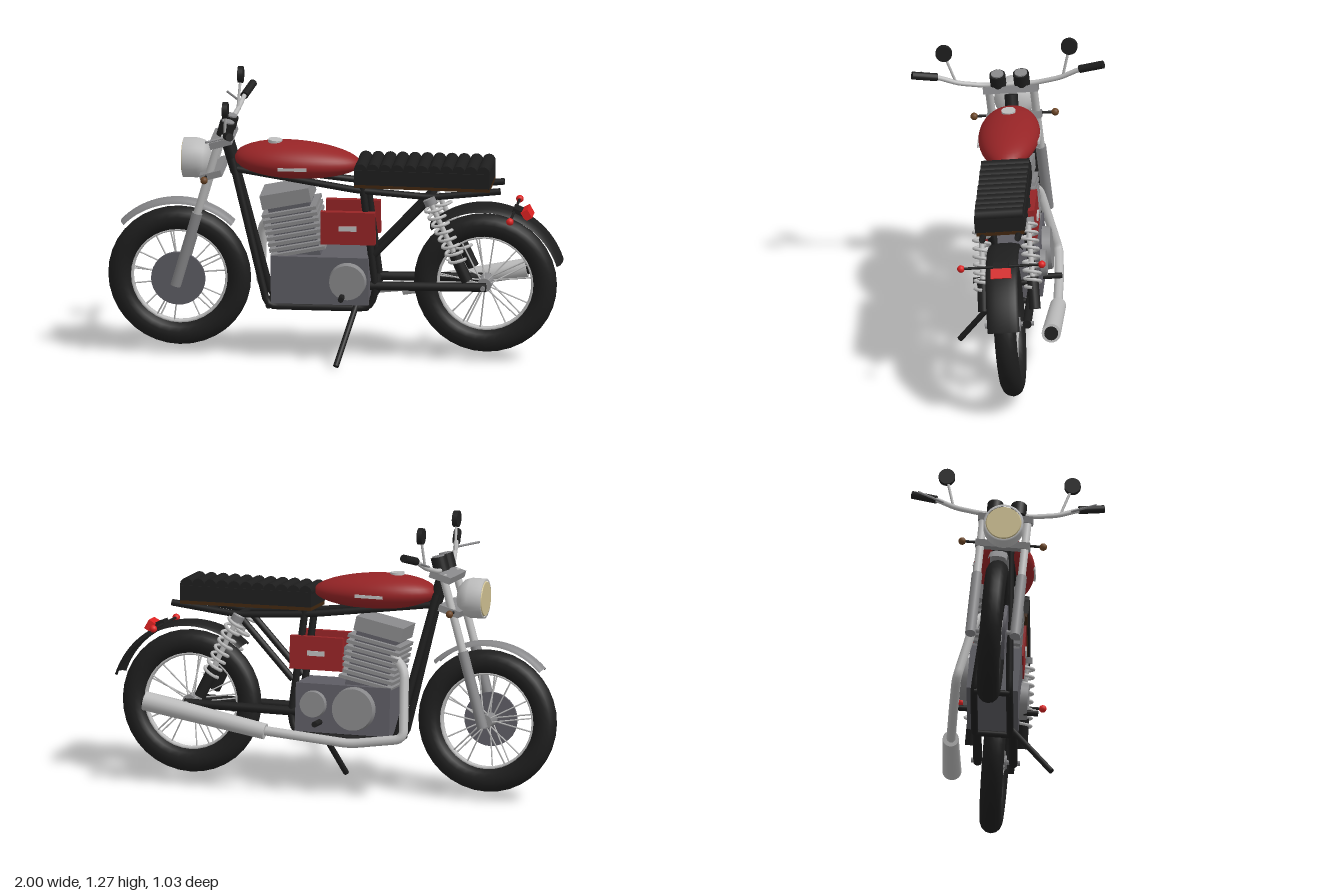
import * as THREE from 'three';

const material = (name, color, side = THREE.FrontSide) => {
  const m = new THREE.MeshStandardMaterial({ color, side });
  m.name = name;
  return m;
};
const V = (p) => new THREE.Vector3(...p);
const UP = new THREE.Vector3(0, 1, 0);
const SIDES = [1, -1];

export function createModel() {
  const black = material('black', 0x1e1e1e, THREE.DoubleSide);
  const red = material('paint red', 0x962426);
  const chrome = material('chrome', 0xbcbcbc);
  const steel = material('steel grey', 0x88888a, THREE.DoubleSide);
  const dark = material('engine grey', 0x5e5d64);
  const brown = material('seat base brown', 0x40260f);
  const amber = material('amber', 0x6b4526);
  const cream = material('lens cream', 0xcbbd8f);
  const lampRed = material('lamp red', 0xdc2222);

  // The bike points to -x locally; it is turned and leans on its side stand
  const model = new THREE.Group();
  const bike = new THREE.Group();
  bike.name = 'motorcycle';
  bike.rotation.set(0.085, 0.25, 0, 'YXZ');
  bike.position.set(-0.025, 0, -0.11);
  model.add(bike);

  const add = (name, geo, mat, pos = [0, 0, 0], parent = bike) => {
    const m = new THREE.Mesh(geo, mat);
    m.name = name;
    m.position.set(...pos);
    parent.add(m);
    return m;
  };
  const box = (name, size, mat, pos, tilt = 0, parent = bike) => {
    const m = add(name, new THREE.BoxGeometry(...size), mat, pos, parent);
    m.rotation.z = tilt;
    return m;
  };
  // Cylinder between two points
  const rod = (name, a, b, r, mat, r2 = r, sides = 14, parent = bike) => {
    const p = V(a), d = V(b).sub(p);
    const m = add(name, new THREE.CylinderGeometry(r2, r, d.length(), sides), mat, [0, 0, 0], parent);
    m.position.copy(p).addScaledVector(d, 0.5);
    m.quaternion.setFromUnitVectors(UP, d.normalize());
    return m;
  };
  // Bent pipe: straight runs with short rounded corners
  const pipe = (name, pts, r, mat, bend = 0.04) => {
    const path = new THREE.CurvePath(), P = pts.map(V);
    let last = P[0];
    for (let i = 1; i < P.length - 1; i++) {
      const a = P[i].clone().add(P[i - 1].clone().sub(P[i]).setLength(bend));
      const b = P[i].clone().add(P[i + 1].clone().sub(P[i]).setLength(bend));
      path.add(new THREE.LineCurve3(last, a));
      path.add(new THREE.QuadraticBezierCurve3(a, P[i], b));
      last = b;
    }
    path.add(new THREE.LineCurve3(last, P[P.length - 1]));
    return add(name, new THREE.TubeGeometry(path, pts.length * 14, r, 10), mat);
  };
  // Curved strip around a wheel, between two angles in degrees
  const fender = (name, x, r, half, from, to, mat) => {
    const profile = [[-1, -0.02], [-0.85, -0.006], [-0.4, 0], [0.4, 0], [0.85, -0.006], [1, -0.02]]
      .map(([w, d]) => new THREE.Vector2(r + d, w * half));
    const rad = Math.PI / 180;
    const g = new THREE.LatheGeometry(profile, 28, from * rad + Math.PI / 2, (to - from) * rad);
    g.rotateX(Math.PI / 2);
    return add(name, g, mat, [x, 0.36, 0]);
  };

  // Wheels
  const wheel = (name, x) => {
    const g = new THREE.Group();
    g.name = name;
    g.position.set(x, 0.36, 0);
    bike.add(g);
    add('tire', new THREE.TorusGeometry(0.268, 0.054, 14, 36), black, [0, 0, 0], g).scale.z = 0.92;
    add('rim', new THREE.TorusGeometry(0.214, 0.008, 8, 36), chrome, [0, 0, 0], g).scale.z = 2.5;
    rod('hub', [0, 0, -0.05], [0, 0, 0.05], 0.032, steel, 0.032, 20, g);
    rod('axle', [0, 0, -0.11], [0, 0, 0.11], 0.011, steel, 0.011, 10, g);
    for (let i = 0; i < 20; i++) {
      const a = i / 20 * Math.PI * 2, b = a + (i % 4 < 2 ? 0.12 : -0.12), w = i % 2 ? 0.04 : -0.04;
      rod('spoke', [0.03 * Math.cos(a), 0.03 * Math.sin(a), w],
        [0.215 * Math.cos(b), 0.215 * Math.sin(b), w * 0.2], 0.0035, chrome, 0.0035, 6, g);
    }
    return g;
  };
  const front = wheel('frontWheel', -0.689);
  wheel('rearWheel', 0.689);
  rod('brakeDisc', [0, 0, 0.045], [0, 0, 0.06], 0.122, dark, 0.122, 32, front);
  fender('frontFender', -0.689, 0.362, 0.042, 46, 136, steel);
  fender('rearFender', 0.689, 0.366, 0.072, 17, 132, black);

  // Frame, swingarm, shocks and everything else that comes in pairs
  for (const k of SIDES) {
    const w = 0.08 * k;
    pipe('frameLoop', [[-0.445, 0.92, 0.03 * k], [-0.285, 0.25, w], [0.175, 0.25, w], [0.205, 0.33, w],
      [0.15, 0.815, w]], 0.016, black);
    pipe('seatRail', [[-0.42, 0.87, 0.03 * k], [0.12, 0.8, w], [0.46, 0.775, w], [0.77, 0.81, w]], 0.015, black);
    rod('rearStay', [0.2, 0.5, w], [0.46, 0.775, w], 0.015, black);
    rod('swingarm', [0.18, 0.355, w], [0.7, 0.36, w], 0.02, black);
    rod('footpeg', [0.06, 0.32, 0.11 * k], [0.06, 0.32, 0.2 * k], 0.013, black);

    // Shock absorber with its coil spring
    const a = V([0.62, 0.4, 0.115 * k]), b = V([0.45, 0.775, 0.105 * k]);
    const at = (t) => a.clone().lerp(b, t).toArray();
    rod('shockRod', at(0), at(1), 0.012, chrome);
    rod('shockBody', at(0), at(0.35), 0.026, black);
    rod('shockCap', at(0.93), at(1), 0.028, steel);
    const coil = [];
    for (let i = 0; i <= 90; i++) {
      const t = i / 90, q = t * 8 * Math.PI * 2;
      coil.push(new THREE.Vector3(0.036 * Math.cos(q), t * 0.29, 0.036 * Math.sin(q)));
    }
    const spring = add('shockSpring', new THREE.TubeGeometry(new THREE.CatmullRomCurve3(coil), 160, 0.0075, 6),
      chrome, at(0.23));
    spring.quaternion.setFromUnitVectors(UP, b.clone().sub(a).normalize());

    // Fork leg
    const f = 0.1 * k;
    rod('forkSlider', [-0.695, 0.34, f], [-0.594, 0.68, f], 0.024, steel);
    rod('forkTube', [-0.594, 0.68, f], [-0.492, 1.02, f], 0.018, chrome);

    // Handlebar half, grip, lever and mirror
    pipe('handlebar', [[-0.475, 1.035, 0], [-0.475, 1.037, 0.12 * k], [-0.45, 1.065, 0.23 * k],
      [-0.43, 1.108, 0.32 * k], [-0.405, 1.133, 0.42 * k]], 0.011, chrome, 0.03);
    rod('grip', [-0.43, 1.108, 0.32 * k], [-0.403, 1.135, 0.43 * k], 0.018, black);
    rod('lever', [-0.44, 1.09, 0.28 * k], [-0.515, 1.1, 0.4 * k], 0.005, steel);
    rod('mirrorStalk', [-0.45, 1.07, 0.24 * k], [-0.44, 1.2, 0.278 * k], 0.006, chrome);
    rod('mirror', [-0.452, 1.217, 0.282 * k], [-0.428, 1.217, 0.282 * k], 0.037, black, 0.037, 24);

    // Gauge
    rod('gauge', [-0.475, 1.03, 0.053 * k], [-0.457, 1.093, 0.053 * k], 0.036, black, 0.036, 24);
    rod('gaugeFace', [-0.457, 1.093, 0.053 * k], [-0.4555, 1.099, 0.053 * k], 0.028, steel, 0.028, 24);

    // Turn signals
    for (const [x, y, mat, inner] of [[-0.552, 0.857, amber, 0.08], [0.825, 0.7, lampRed, 0]]) {
      rod('signalStalk', [x, y, inner * k], [x, y, 0.175 * k], 0.006, black);
      add('turnSignal', new THREE.SphereGeometry(0.017, 14, 10), mat, [x, y, 0.182 * k]);
    }

    // Side panel and tank trim
    box('sidePanel', [0.245, 0.15, 0.03], red, [0.085, 0.628, 0.1 * k]);
    box('panelTrim', [0.08, 0.022, 0.008], chrome, [0.085, 0.628, 0.118 * k]);
    box('tankTrim', [0.13, 0.014, 0.009], chrome, [-0.16, 0.903, 0.136 * k]);
  }
  for (const [x, y] of [[-0.28, 0.25], [0.16, 0.25], [0.2, 0.355], [0.46, 0.775], [0.6, 0.79]])
    rod('crossTube', [x, y, -0.08], [x, y, 0.08], 0.014, black);
  rod('headTube', [-0.425, 0.85, 0], [-0.465, 0.99, 0], 0.03, black);
  box('upperForkClamp', [0.1, 0.03, 0.245], steel, [-0.485, 1.01, 0], 0.28);
  box('lowerForkClamp', [0.1, 0.03, 0.245], steel, [-0.53, 0.86, 0], 0.28);

  // Headlight
  const shell = [[0, 0], [0.05, 0.005], [0.08, 0.03], [0.09, 0.06], [0.09, 0.125], [0.08, 0.125]];
  const lamp = add('headlight', new THREE.LatheGeometry(shell.map((p) => new THREE.Vector2(...p)), 32),
    chrome, [-0.54, 0.91, 0]);
  lamp.rotation.z = Math.PI / 2;
  rod('headlightLens', [-0.655, 0.91, 0], [-0.669, 0.91, 0], 0.082, cream, 0.076, 32);

  // Fuel tank: an egg, fullest near the front and flatter below
  const egg = new THREE.SphereGeometry(1, 40, 24), p = egg.attributes.position;
  for (let i = 0; i < p.count; i++) {
    const x = p.getX(i), taper = 1 - 0.1 * x;
    p.setXYZ(i, x * 0.285, p.getY(i) * (p.getY(i) < 0 ? 0.078 : 0.084) * taper, p.getZ(i) * 0.137 * taper);
  }
  egg.computeVertexNormals();
  add('fuelTank', egg, red, [-0.152, 0.91, 0]).rotation.z = -0.04;
  rod('fuelCap', [-0.253, 0.98, 0], [-0.251, 1.004, 0], 0.032, chrome, 0.032, 24);

  // Seat with rolled ribs
  box('seatPan', [0.61, 0.016, 0.215], brown, [0.42, 0.822, 0], -0.012);
  box('seatBase', [0.61, 0.068, 0.225], black, [0.42, 0.864, 0], -0.012);
  for (let i = 0; i < 11; i++) {
    const x = 0.143 + i * 0.0555;
    rod('seatRib', [x, 0.9, -0.108], [x, 0.9, 0.108], 0.029, black, 0.029, 16);
  }

  // Engine
  box('crankcase', [0.44, 0.22, 0.23], dark, [-0.045, 0.382, 0]);
  rod('leftCover', [0.083, 0.385, 0.11], [0.083, 0.385, 0.15], 0.085, steel, 0.08, 32);
  rod('clutchCover', [-0.1, 0.39, -0.11], [-0.1, 0.39, -0.152], 0.1, steel, 0.094, 32);
  rod('smallCover', [0.09, 0.4, -0.11], [0.09, 0.4, -0.14], 0.062, steel, 0.058, 28);
  const barrel = new THREE.Group();
  barrel.name = 'cylinder';
  barrel.position.set(-0.135, 0.47, 0);
  barrel.rotation.z = 0.2;
  bike.add(barrel);
  box('barrelCore', [0.19, 0.28, 0.16], dark, [0, 0.13, 0], 0, barrel);
  for (let i = 0; i < 8; i++) box('fin', [0.25, 0.015, 0.21], steel, [0, 0.04 + i * 0.027, 0], 0, barrel);
  box('cylinderHead', [0.225, 0.065, 0.19], steel, [-0.005, 0.29, 0], 0, barrel);
  rod('carburettor', [-0.08, 0.6, 0], [0.06, 0.62, 0], 0.04, dark);

  // Exhaust
  pipe('exhaustPipe', [[-0.24, 0.65, -0.05], [-0.325, 0.58, -0.1], [-0.345, 0.275, -0.16],
    [-0.1, 0.24, -0.172], [0.32, 0.278, -0.19]], 0.021, chrome);
  rod('muffler', [0.29, 0.272, -0.19], [0.852, 0.375, -0.198], 0.036, chrome, 0.043, 24);
  rod('mufflerOutlet', [0.846, 0.374, -0.198], [0.859, 0.3765, -0.198], 0.031, black, 0.031, 20);

  // Tail lamp and side stand
  box('tailLamp', [0.035, 0.045, 0.09], lampRed, [0.882, 0.69, 0], 0.5);
  box('tailBracket', [0.06, 0.03, 0.07], black, [0.845, 0.695, 0], -0.4);
  rod('sideStand', [0.115, 0.26, 0.085], [0.046, 0.035, 0.284], 0.013, black);

  return model;
}
